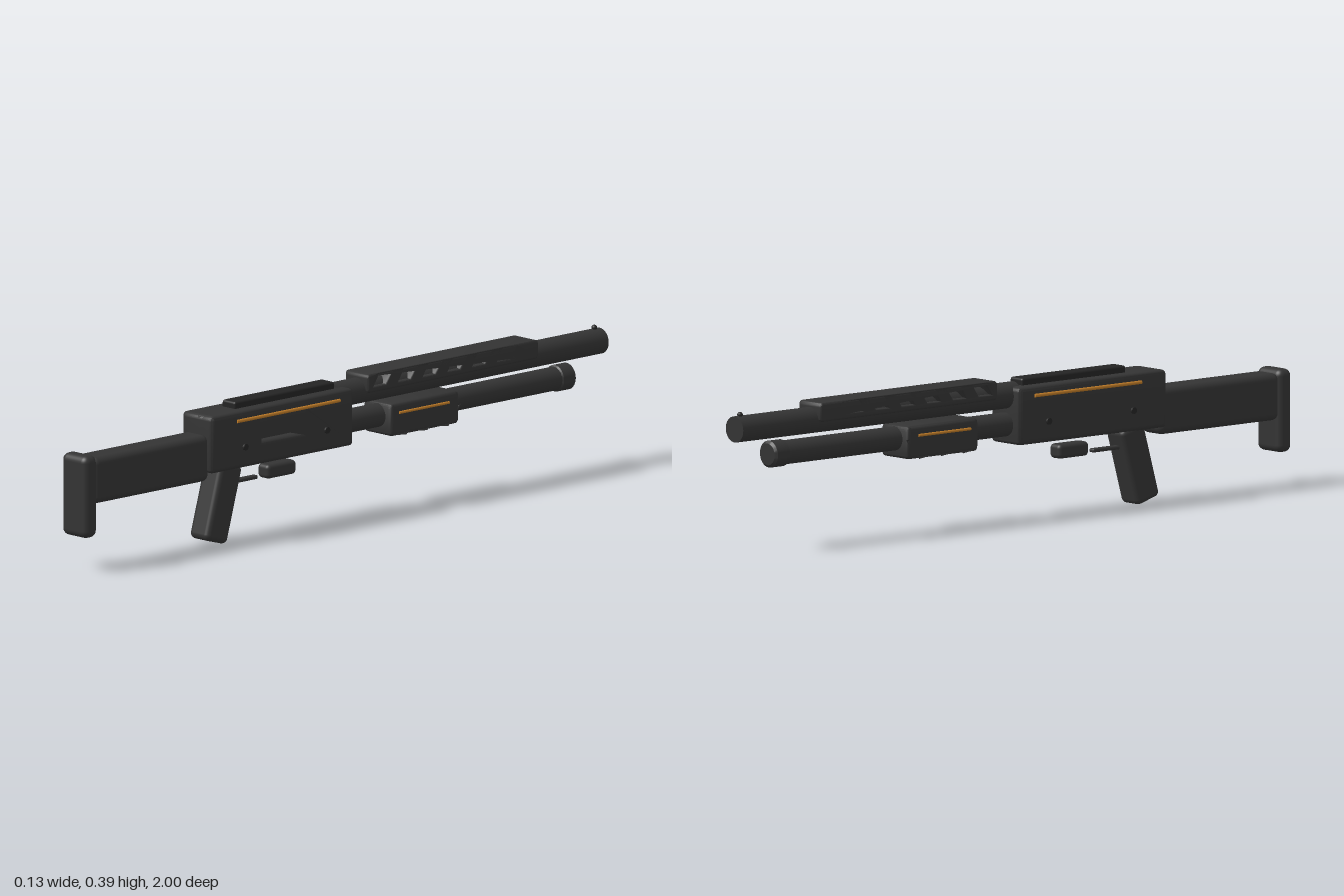
import * as THREE from 'three';
import { toCreasedNormals } from 'three/addons/utils/BufferGeometryUtils.js';
import { RoundedBoxGeometry } from 'three/addons/geometries/RoundedBoxGeometry.js';

const paint = (name, color) => Object.assign(new THREE.MeshStandardMaterial({ color }), { name });

export function createModel() {
  const model = new THREE.Group();
  model.name = 'pumpActionToy';
  const body = paint('charcoal', 0x343434);
  const dark = paint('darkMetal', 0x242424);
  const amber = paint('amber', 0xc07c28);

  const add = (name, geometry, material, x, y, z) => {
    const mesh = new THREE.Mesh(geometry, material);
    mesh.name = name;
    mesh.position.set(x, y, z);
    model.add(mesh);
    return mesh;
  };

  // Rounded block given by its ranges in y and z
  const block = (name, material, w, y0, y1, z0, z1, r) =>
    add(name, new RoundedBoxGeometry(w, y1 - y0, z1 - z0, 4, r), material, 0, (y0 + y1) / 2, (z0 + z1) / 2);

  // Cylinder running along z
  const rod = (name, material, r, x, y, z0, z1, sides = 32) =>
    add(name, new THREE.CylinderGeometry(r, r, z1 - z0, sides).rotateX(Math.PI / 2), material, x, y, (z0 + z1) / 2);

  // Side profile (u = -z) with holes, extruded across x from x0 to x1
  const slab = (name, material, x0, x1, y0, y1, z0, z1, r, bevel, holes = []) => {
    const a = -z1, b = -z0;
    const s = new THREE.Shape();
    s.moveTo(a + r, y0);
    s.lineTo(b - r, y0);
    s.quadraticCurveTo(b, y0, b, y0 + r);
    s.lineTo(b, y1 - r);
    s.quadraticCurveTo(b, y1, b - r, y1);
    s.lineTo(a + r, y1);
    s.quadraticCurveTo(a, y1, a, y1 - r);
    s.lineTo(a, y0 + r);
    s.quadraticCurveTo(a, y0, a + r, y0);
    for (const pts of holes) s.holes.push(new THREE.Path(pts.map(([u, v]) => new THREE.Vector2(u, v))));
    const g = new THREE.ExtrudeGeometry(s, {
      depth: x1 - x0 - 2 * bevel, bevelThickness: bevel, bevelSize: bevel,
      bevelOffset: -bevel, bevelSegments: 3, curveSegments: 5,
    }).translate(0, 0, x0 + bevel).rotateY(Math.PI / 2);
    return add(name, toCreasedNormals(g, 0.7), material, 0, 0, 0);
  };

  // Slanted slot outline, leaning forward towards the top
  const slot = (u, y0, y1, width, lean) => [
    [u, y0], [u + lean, y1], [u + lean + width, y1], [u + width, y0],
  ];

  // Stock, butt pad and slanted grip
  block('buttPad', body, 0.1, 0.1, 0.33, 0.95, 1, 0.02);
  block('stock', body, 0.088, 0.19, 0.32, 0.52, 0.96, 0.02);
  const grip = add('grip', new RoundedBoxGeometry(0.076, 0.22, 0.085, 4, 0.016), body, 0, 0.118, 0.457);
  grip.rotation.x = -0.28;

  // Receiver: solid core plus an outer layer that opens the port on the left side
  const port = [[-0.335, 0.278], [-0.185, 0.278], [-0.185, 0.336], [-0.335, 0.336]];
  slab('receiverCore', body, -0.06, 0.035, 0.213, 0.373, -0.01, 0.53, 0.014, 0.012);
  slab('receiverSide', body, -0.01, 0.06, 0.213, 0.373, -0.01, 0.53, 0.014, 0.012, [port]);
  block('topRail', dark, 0.052, 0.365, 0.392, 0.03, 0.41, 0.007);

  // Trigger parts under the receiver
  block('triggerBar', body, 0.02, 0.159, 0.17, 0.305, 0.47, 0.005);
  block('triggerGuard', body, 0.045, 0.155, 0.195, 0.17, 0.28, 0.012);

  // Barrel with bead sight, magazine tube with cap
  rod('barrel', body, 0.036, 0, 0.347, -1, 0.02);
  add('beadSight', new THREE.SphereGeometry(0.008, 16, 12), dark, 0, 0.386, -0.98);
  rod('magazineTube', body, 0.033, 0, 0.267, -0.85, 0.02);
  const capProfile = [[0, -0.028], [0.03, -0.028], [0.037, -0.022], [0.037, 0.022], [0.03, 0.028], [0, 0.028]]
    .map(([r, h]) => new THREE.Vector2(r, h));
  const capGeometry = toCreasedNormals(new THREE.LatheGeometry(capProfile, 32).rotateX(Math.PI / 2), 0.6);
  add('magazineCap', capGeometry, body, 0, 0.267, -0.852);

  // Slotted heat shield over the barrel
  const vents = [];
  for (let i = 0; i < 6; i++) vents.push(slot(0.1 + i * 0.094, 0.362, 0.391, 0.045, 0.02));
  slab('heatShield', body, -0.046, 0.046, 0.345, 0.398, -0.725, -0.077, 0.012, 0.006, vents);

  // Pump with slanted grooves
  const grooves = [];
  for (let i = 0; i < 3; i++) grooves.push(slot(0.187 + i * 0.08, 0.222, 0.262, 0.022, 0.04));
  slab('pump', body, -0.055, 0.055, 0.213, 0.305, -0.415, -0.155, 0.014, 0.01, grooves);

  // Mirrored trim lines and pins
  for (const side of [-1, 1]) {
    rod('receiverTrim', amber, 0.005, side * 0.06, 0.347, 0.045, 0.435, 10);
    rod('pumpTrim', amber, 0.004, side * 0.055, 0.277, -0.375, -0.185, 10);
    for (const z of [0.095, 0.405]) {
      const pin = new THREE.CylinderGeometry(0.009, 0.009, 0.012, 16).rotateZ(Math.PI / 2);
      add('receiverPin', pin, dark, side * 0.06, 0.272, z);
    }
  }
  return model;
}
